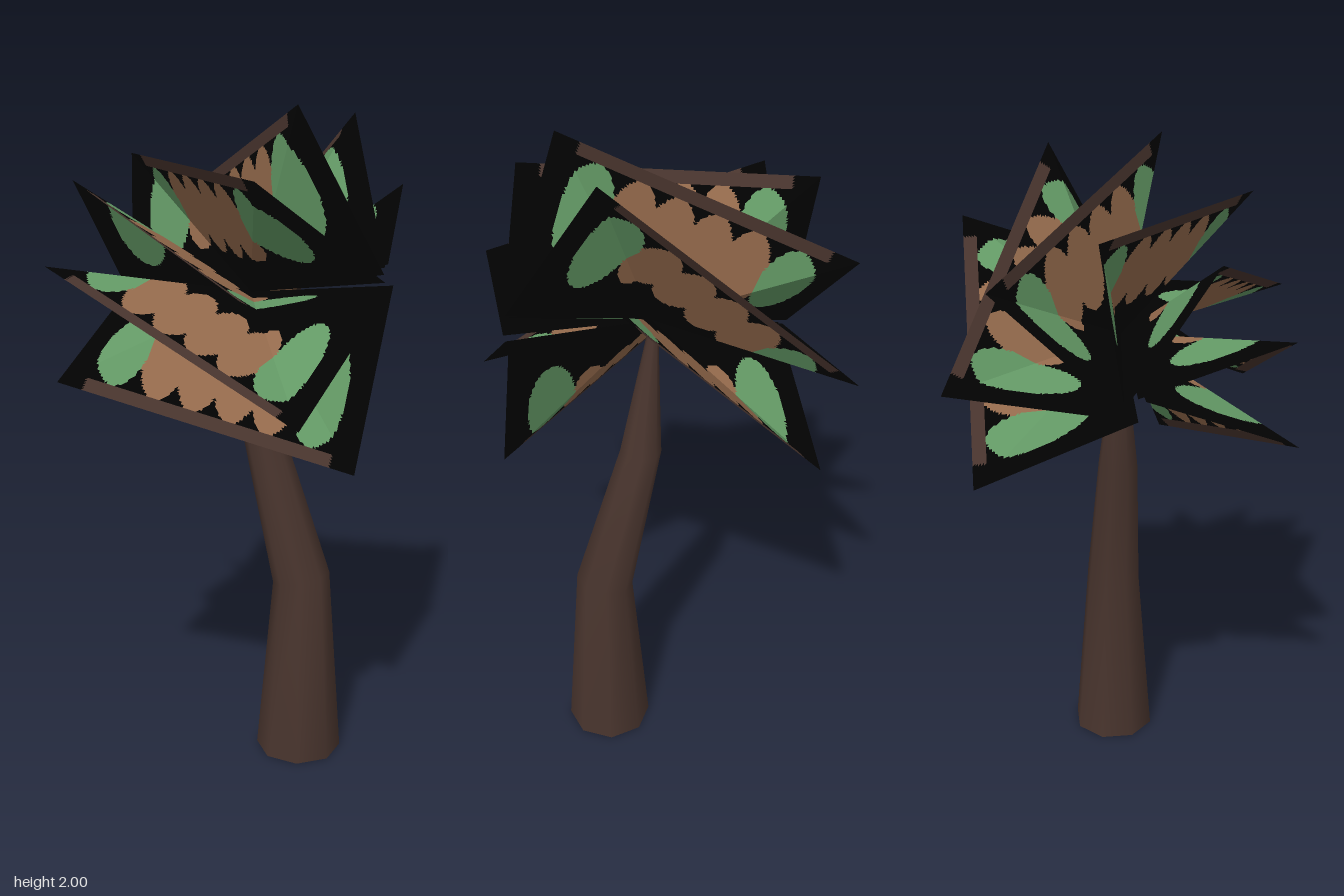
import * as THREE from 'three';

const paint = (name, color) => {
  const m = new THREE.MeshStandardMaterial({ color, side: THREE.DoubleSide });
  m.name = name;
  return m;
};
const V = (x, y, z) => new THREE.Vector3(x, y, z);

// Outer edge of each frond: left end, right end
const FROND_EDGES = [
  [V(-0.46, 1.78, 0.19), V(0.31, 1.51, 0.53)],
  [V(-0.37, 1.24, 0.435), V(0.43, 1.00, 0.16)],
  [V(-0.29, 1.12, -0.46), V(0.32, 1.75, -0.46)],
  [V(-0.42, 1.56, 0.40), V(0.38, 1.19, 0.43)],
  [V(-0.45, 1.84, -0.12), V(0.24, 1.82, 0.41)],
  [V(-0.40, 1.71, -0.40), V(0.23, 2.00, 0.13)],
  [V(-0.34, 1.42, -0.53), V(0.26, 1.97, -0.20)],
];
const CROWN = V(0.018, 1.46, -0.015);
const CROWN_AXIS = V(1, 0.17, 0);

// Frond pattern on the unit square: 0 black, 1 bark, 2 tan, 3 green
function patternAt(u, v) {
  const inside = (cu, cv, ru, rv) => ((u - cu) / ru) ** 2 + ((v - cv) / rv) ** 2 < 1;
  if (v > 0.905 && u > 0.085 && u < 0.915) return 1;
  if (inside(0.165, 0.58, 0.086, 0.33) || inside(0.835, 0.58, 0.086, 0.33)) return 3;
  for (const i of [-1.5, -0.5, 0.5, 1.5]) {
    if (inside(0.5 + i * 0.126, 0.61, 0.075, 0.31)) return 2;
  }
  return 0;
}

// A card folded along two creases that run from the crown to the outer corners
function frondGeometry(left, right) {
  const along = right.clone().sub(left).normalize();
  const inner = CROWN_AXIS.clone().addScaledVector(along, 0.16).normalize().multiplyScalar(0.44);
  const a = CROWN.clone().sub(inner), b = CROWN.clone().add(inner);
  const mid = left.clone().lerp(right, 0.5);
  const place = ([u, v]) => {
    const side = Math.abs(u - 0.5) * 2;
    if (side > v) { // side flap
      const [foot, tip] = u < 0.5 ? [a, left] : [b, right];
      return foot.clone().addScaledVector(CROWN.clone().sub(foot), 1 - side)
        .addScaledVector(tip.clone().sub(foot), v);
    }
    // middle facet
    return left.clone().lerp(right, u).addScaledVector(CROWN.clone().sub(mid), 1 - v);
  };

  const rows = 56, cols = rows * 2;
  const lists = [[], [], [], []];
  const addTriangle = (...corners) => {
    const cu = (corners[0][0] + corners[1][0] + corners[2][0]) / 3;
    const cv = (corners[0][1] + corners[1][1] + corners[2][1]) / 3;
    const list = lists[patternAt(cu, cv)];
    for (const c of corners) list.push(...place(c).toArray());
  };
  for (let i = 0; i < cols; i++) {
    for (let j = 0; j < rows; j++) {
      const p = [i / cols, j / rows], q = [(i + 1) / cols, j / rows];
      const r = [(i + 1) / cols, (j + 1) / rows], s = [i / cols, (j + 1) / rows];
      // cell diagonals follow the creases
      if (i < rows) { addTriangle(p, q, s); addTriangle(q, r, s); }
      else { addTriangle(p, q, r); addTriangle(p, r, s); }
    }
  }
  const geometry = new THREE.BufferGeometry();
  geometry.setAttribute('position', new THREE.Float32BufferAttribute(lists.flat(), 3));
  let start = 0;
  lists.forEach((list, k) => {
    geometry.addGroup(start, list.length / 3, k);
    start += list.length / 3;
  });
  geometry.computeVertexNormals();
  return geometry;
}

// Bent trunk lofted through rings: x, y, z, radius, tilt
function trunkGeometry() {
  const rings = [
    [0.187, 0, -0.025, 0.133, 0],
    [0.19, 0.58, -0.023, 0.087, 0.25],
    [0.058, 1.03, -0.02, 0.062, 0.1],
    [0.015, 1.43, -0.018, 0.015, 0],
  ];
  const sides = 8, positions = [], index = [];
  rings.forEach(([x, y, z, radius, tilt], k) => {
    for (let i = 0; i < sides; i++) {
      const t = ((i + 0.5) / sides) * Math.PI * 2;
      const dx = Math.cos(t) * radius;
      positions.push(x + dx, y + dx * tilt, z + Math.sin(t) * radius);
      if (k === rings.length - 1) continue;
      const p = k * sides + i, q = k * sides + (i + 1) % sides;
      index.push(p, p + sides, q, q, p + sides, q + sides);
    }
  });
  const geometry = new THREE.BufferGeometry();
  geometry.setAttribute('position', new THREE.Float32BufferAttribute(positions, 3));
  geometry.setIndex(index);
  geometry.computeVertexNormals();
  return geometry;
}

export function createModel() {
  const black = paint('leafBlack', 0x020202);
  const bark = paint('barkBrown', 0x48342d);
  const tan = paint('leafTan', 0x946a4c);
  const green = paint('leafGreen', 0x639965);

  const model = new THREE.Group();
  model.name = 'palmTree';

  const trunk = new THREE.Mesh(trunkGeometry(), bark);
  trunk.name = 'trunk';
  model.add(trunk);

  const crown = new THREE.Group();
  crown.name = 'crown';
  FROND_EDGES.forEach(([left, right], i) => {
    const frond = new THREE.Mesh(frondGeometry(left, right), [black, bark, tan, green]);
    frond.name = `frond${i + 1}`;
    crown.add(frond);
  });
  model.add(crown);
  return model;
}
